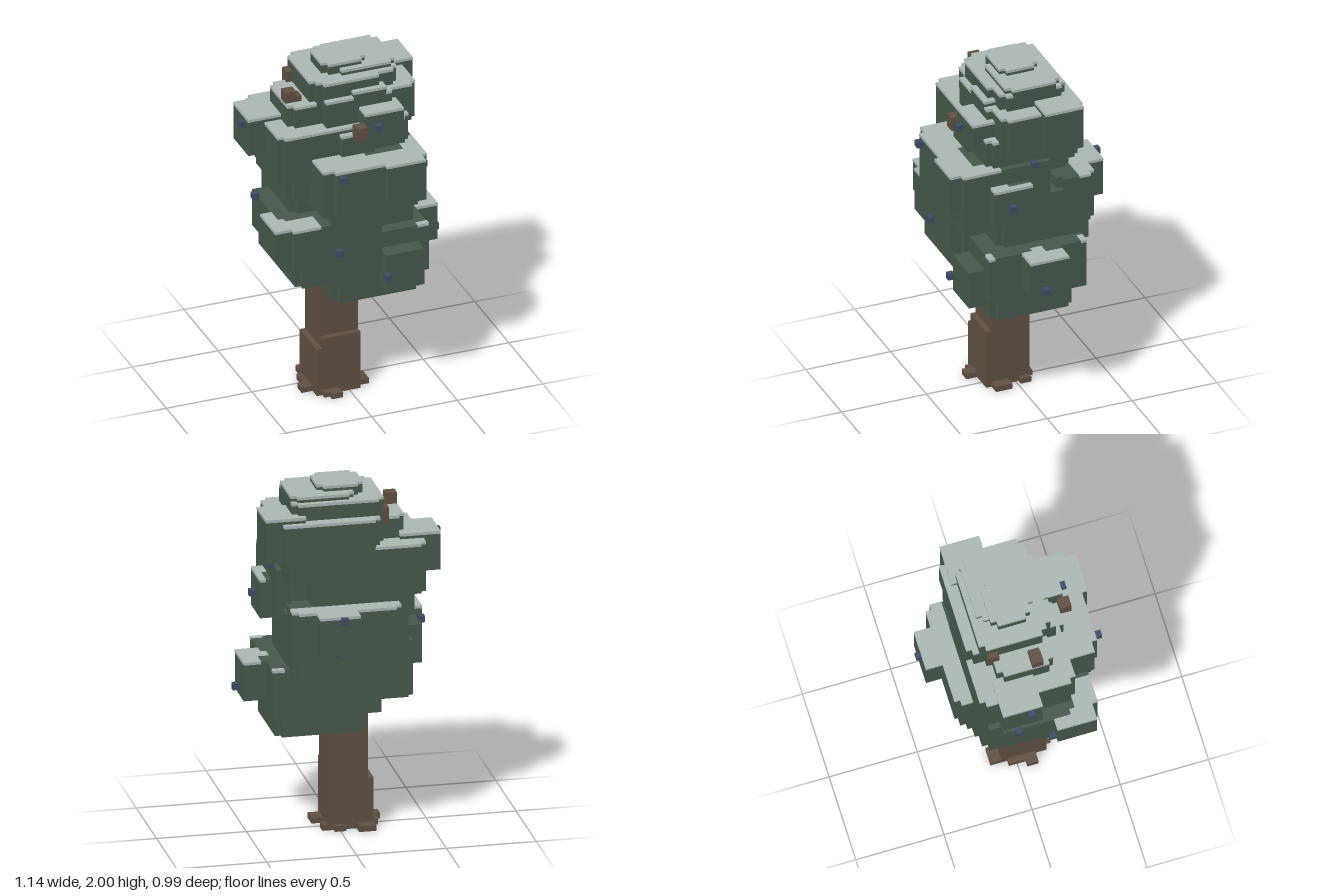
import * as THREE from 'three';

const U = 2 / 63; // one block unit; the z grid is shifted by half a unit
const ZS = -0.5;
const PLAIN = true; // marks clumps without notched corners

// foliage clumps: [x0, x1, y0, y1, z0, z1, plain] in block units
const crown = [
  [-4, 4, 60, 63, -3, 4],
  [-2, 9, 55, 62, -5, 5],
  [-7, 9, 52, 61, -6, 6],
  [-6, 6, 52, 61, -6, 7],
  [-6, 12, 51, 58, -8, 7],
  [-5, 7, 51, 58, -6, 8, PLAIN],
  [0, 6, 52, 59, -4, 8, PLAIN],
  [7, 14, 51, 59, -7, 0, PLAIN],
  [-11, 6, 46, 57, -4, 6],
  [1, 8, 51, 56, 2, 11, PLAIN],
];
const upper = [
  [-17, -10, 47, 54, -5, 2, PLAIN],
  [-14, 6, 44, 53, -8, 9],
  [-4, 4, 47, 52, 0, 10],
  [-6, 10, 47, 53, -8, 9],
  [-12, 6, 40, 46, -8, 8],
  [-6, 10, 40, 48, -3, 8],
];
const middle = [
  [-8, 11, 39, 48, -2, 14, PLAIN],
  [-7, 10, 39, 48, 2, 15],
  [3, 10, 41, 48, 9, 16, PLAIN],
  [5, 13, 38, 45, 2, 9, PLAIN],
  [-1, 6, 36, 43, -14, -5, PLAIN],
  [-9, 10, 34, 43, -11, -4],
  [-9, 10, 30, 36, -10, -2],
  [-11, 10, 28, 41, -8, 7],
  [-6, 9, 35, 40, 2, 13, PLAIN],
];
const lower = [
  [-16, -9, 31, 37, 5, 12, PLAIN],
  [-14, 3, 29, 37, 2, 12, PLAIN],
  [-13, 3, 29, 37, 3, 13, PLAIN],
  [-14, -8, 30, 37, -4, 5, PLAIN],
  [-12, 4, 25, 35, -7, 12],
  [-6, 13, 23, 32, -8, 10, PLAIN],
  [9, 17, 25, 32, -3, 4, PLAIN],
  [4, 11, 22, 29, 6, 13, PLAIN],
  [-4, 12, 19, 25, -6, 9],
];

const trunkBoxes = [
  [-6, 2, 0, 9, -2, 6],
  [-5, 2, 0, 11, -2, 6],
  [-5, 2, 0, 30, -2, 5],
];
const rootBoxes = [
  [-8, -6, 0, 1, 2, 4], [-7, -6, 0, 1, -1, 2],
  [2, 4, 0, 1, 2, 5], [2, 3, 0, 1, -2, 0],
  [-5, -2, 0, 1, 6, 7], [-4, -2, 0, 1, 7, 8],
  [-6, -3, 0, 1, -4, -2], [-1, 1, 0, 1, -3, -2],
];
const branchBoxes = [
  [-11, -9, 57, 59, 2, 4], [-9, -8, 57, 58, 2, 4],
  [-8, -7, 56, 59, -5, -3],
  [-1, 1, 51.5, 54, 10, 12],
  [8, 9.9, 36, 38, 5, 6.15],
];
// berries: lowest corner of each small cube
const BERRY = 1.15;
const berries = [
  [-18, 51.9, -0.6], [10.9, 47.5, 0.4], [13, 40.9, 5.3], [16.9, 25.7, 0.9],
  [2.6, 52.8, 11], [-5.4, 46.2, 15], [-5.4, 30.9, 13], [3.5, 24.4, 13],
  [-15, 30, 3.9], [-15, 36.5, -2], [1.3, 41.8, -15], [2, 35, -12],
];

function box([x0, x1, y0, y1, z0, z1], material, name, grow = 0) {
  const g = new THREE.BoxGeometry((x1 - x0) * U + grow, (y1 - y0) * U, (z1 - z0) * U + grow);
  const m = new THREE.Mesh(g, material);
  m.position.set((x0 + x1) / 2 * U, (y0 + y1) / 2 * U, ((z0 + z1) / 2 + ZS) * U);
  m.name = name;
  return m;
}

// foliage block, with a one-unit notch along each upright corner unless plain;
// its top sits just under the frost
function clump([x0, x1, y0, yTop, z0, z1, plain], material, name) {
  const y1 = yTop - 0.1;
  if (plain) return box([x0, x1, y0, y1, z0, z1], material, name);
  const a = -(z1 + ZS), b = -(z0 + ZS);
  const pts = [
    [x0 + 1, a], [x1 - 1, a], [x1 - 1, a + 1], [x1, a + 1], [x1, b - 1], [x1 - 1, b - 1],
    [x1 - 1, b], [x0 + 1, b], [x0 + 1, b - 1], [x0, b - 1], [x0, a + 1], [x0 + 1, a + 1],
  ].map(([x, y]) => new THREE.Vector2(x * U, y * U));
  const g = new THREE.ExtrudeGeometry(new THREE.Shape(pts), { depth: (y1 - y0) * U, bevelEnabled: false });
  g.rotateX(-Math.PI / 2);
  g.translate(0, y0 * U, 0);
  const m = new THREE.Mesh(g, material);
  m.name = name;
  return m;
}

// height of the highest foliage in a one-unit column
function topOf(x, z, clumps) {
  let top = 0;
  for (const [x0, x1, , y1, z0, z1, plain] of clumps) {
    if (x < x0 || x >= x1 || z < z0 || z >= z1) continue;
    const corner = (x === x0 || x === x1 - 1) && (z === z0 || z === z1 - 1);
    if (plain || !corner) top = Math.max(top, y1);
  }
  return top;
}

export function createModel() {
  const paint = (name, color) => {
    const m = new THREE.MeshStandardMaterial({ color });
    m.name = name;
    return m;
  };
  const needle = paint('needle green', 0x46574b);
  const frost = paint('frost grey', 0xabb6b3);
  const bark = paint('bark brown', 0x5f4f42);
  const blue = paint('berry blue', 0x3d4b66);

  const model = new THREE.Group();
  model.name = 'frostedTree';
  const part = (name, meshes) => {
    const g = new THREE.Group();
    g.name = name;
    g.add(...meshes);
    model.add(g);
  };

  part('trunk', trunkBoxes.map((b) => box(b, bark, 'trunkBlock')));
  part('roots', rootBoxes.map((b) => box(b, bark, 'root')));
  part('branches', branchBoxes.map((b) => box(b, bark, 'branch')));
  const tiers = { crownFoliage: crown, upperFoliage: upper, middleFoliage: middle, lowerFoliage: lower };
  for (const [name, list] of Object.entries(tiers)) {
    part(name, list.map((b) => clump(b, needle, 'foliageClump')));
  }
  part('berries', berries.map(([x, y, z]) => box([x, x + BERRY, y, y + BERRY, z, z + BERRY], blue, 'berry')));

  // frost lies on every column of foliage open to the sky, merged into strips
  const all = Object.values(tiers).flat();
  const strips = [];
  for (let z = -16; z < 17; z++) {
    let start = -19;
    for (let x = -18; x <= 19; x++) {
      const top = topOf(x - 1, z, all);
      if (topOf(x, z, all) === top) continue;
      if (top > 0) strips.push(box([start, x, top - 0.5, top, z, z + 1], frost, 'frostStrip', 0.003));
      start = x;
    }
  }
  part('frost', strips);
  return model;
}
